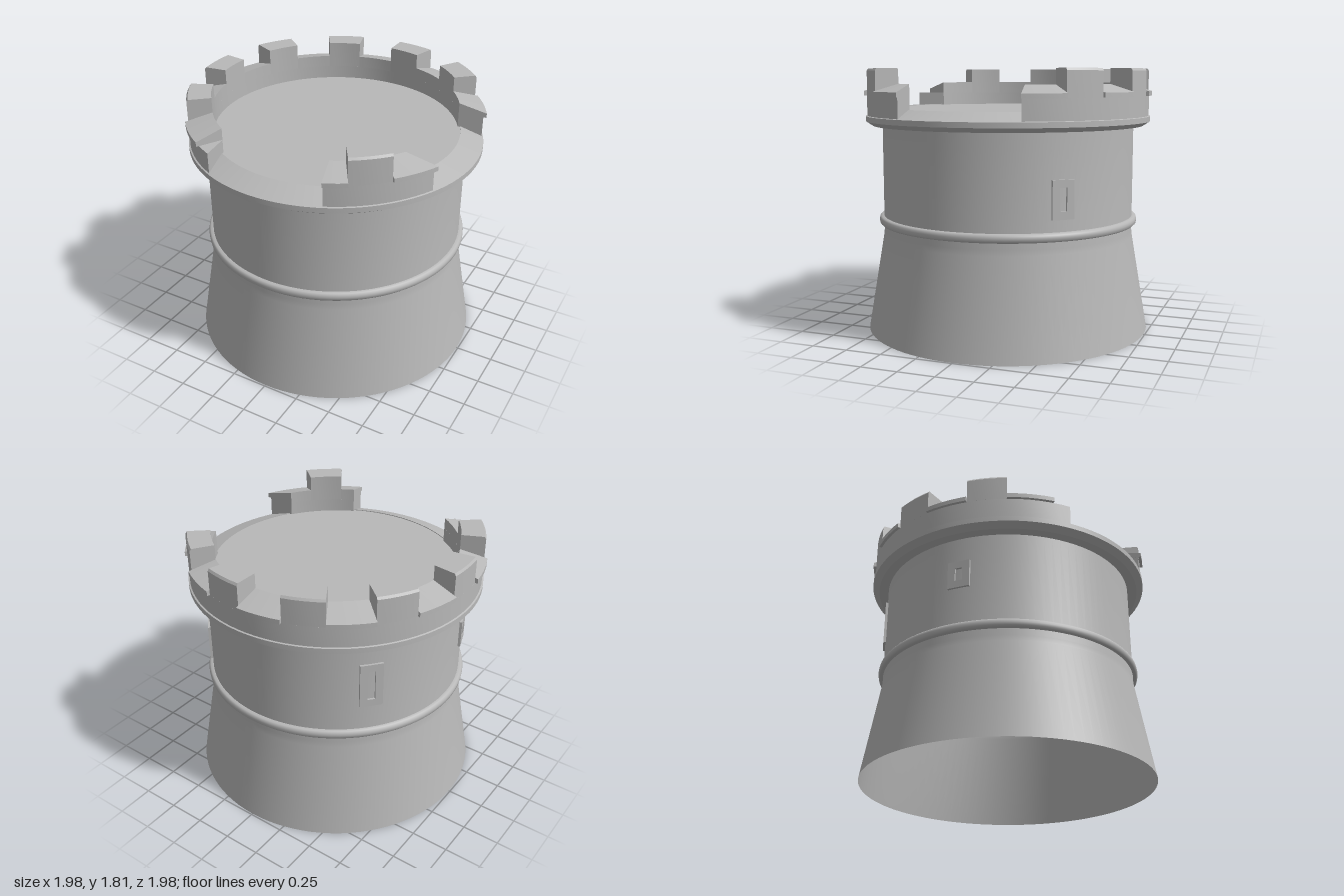
import * as THREE from 'three';
import { toCreasedNormals } from 'three/addons/utils/BufferGeometryUtils.js';

const stone = new THREE.MeshStandardMaterial({ color: 0xb8b8b8, side: THREE.DoubleSide });
stone.name = 'grey stone';

const R_IN = 0.815, R_OUT = 0.975;
const rad = THREE.MathUtils.degToRad;

function mesh(name, geometry, crease = 0.5) {
  const m = new THREE.Mesh(toCreasedNormals(geometry, crease), stone);
  m.name = name;
  return m;
}

function lathe(name, points, crease) {
  return mesh(name, new THREE.LatheGeometry(points.map(p => new THREE.Vector2(...p)), 96), crease);
}

// Sweeps a convex [radius, height] section around the axis.
// start and end are [inner, outer] angles in degrees, so the ends may be skewed.
function arcBlock(name, section, start, end) {
  const steps = Math.max(2, Math.ceil((end[1] - start[1]) / 4));
  const n = section.length, pos = [];
  const point = (i, k) => {
    const [r, y] = section[k % n];
    const t = (r - R_IN) / (R_OUT - R_IN);
    const a0 = THREE.MathUtils.lerp(start[0], start[1], t);
    const a1 = THREE.MathUtils.lerp(end[0], end[1], t);
    const a = rad(a0 + (a1 - a0) * i / steps);
    return [r * Math.cos(a), y, r * Math.sin(a)];
  };
  const tri = (...corners) => corners.forEach(c => pos.push(...c));
  for (let i = 0; i < steps; i++) {
    for (let k = 0; k < n; k++) {
      tri(point(i, k), point(i, k + 1), point(i + 1, k + 1));
      tri(point(i, k), point(i + 1, k + 1), point(i + 1, k));
    }
  }
  for (let k = 1; k < n - 1; k++) {
    tri(point(0, 0), point(0, k + 1), point(0, k));
    tri(point(steps, 0), point(steps, k), point(steps, k + 1));
  }
  const g = new THREE.BufferGeometry();
  g.setAttribute('position', new THREE.Float32BufferAttribute(pos, 3));
  return mesh(name, g);
}

const wallSection = [[R_IN, 1.49], [R_OUT, 1.49], [R_OUT, 1.63], [R_IN, 1.63]];
const copingSection = [[R_IN, 1.63], [0.995, 1.63], [0.995, 1.66], [R_IN, 1.71]];
const merlonSection = [[R_IN, 1.63], [R_OUT, 1.63], [R_OUT, 1.795], [0.965, 1.81], [R_IN, 1.81]];

// One standing stretch of parapet: wall, merlons, and sloped coping between them.
function parapet(name, start, end, merlonCentres, copingStart = start) {
  const group = new THREE.Group();
  group.name = name;
  group.add(arcBlock('parapetWall', wallSection, start, end));
  let from = copingStart;
  for (const c of merlonCentres) {
    const a = c - 7.8, b = c + 7.8;
    group.add(arcBlock('coping', copingSection, from, [a, a]));
    group.add(arcBlock('merlon', merlonSection, [a, a], [b, b]));
    from = [b, b];
  }
  group.add(arcBlock('coping', copingSection, from, end));
  return group;
}

// Thin stone frame around a narrow slit, set against the wall.
function slitWindow(angle, bottom, height) {
  const w = 0.15;
  const shape = new THREE.Shape();
  shape.moveTo(-w / 2, 0).lineTo(w / 2, 0).lineTo(w / 2, height).lineTo(-w / 2, height).closePath();
  const hole = new THREE.Path();
  hole.moveTo(-0.025, 0.05).lineTo(-0.025, height - 0.05)
    .lineTo(0.025, height - 0.05).lineTo(0.025, 0.05).closePath();
  shape.holes.push(hole);
  const m = mesh('slitWindow', new THREE.ExtrudeGeometry(shape, { depth: 0.025, bevelEnabled: false }));
  const a = rad(angle);
  m.position.set(0.862 * Math.cos(a), bottom, 0.862 * Math.sin(a));
  m.rotation.y = Math.PI / 2 - a;
  return m;
}

export function createModel() {
  const tower = new THREE.Group();
  tower.name = 'tower';

  // Hollow body: flared base and straight drum
  tower.add(lathe('towerBody', [[0.99, 0], [0.877, 0.66], [0.873, 0.70], [0.873, 1.43]], 0.6));

  // Rounded band around the drum
  tower.add(lathe('bandRing', [
    [0.87, 0.745], [0.893, 0.745], [0.903, 0.755], [0.905, 0.775],
    [0.902, 0.79], [0.893, 0.80], [0.87, 0.802],
  ], 0.9));

  // Cornice with a sloped top, and the roof floor inside it
  tower.add(lathe('cornice', [
    [0.87, 1.425], [0.94, 1.425], [0.985, 1.455], [0.985, 1.49], [0.83, 1.545], [0.83, 1.538],
  ], 0.3));
  const floor = new THREE.CircleGeometry(0.832, 96).rotateX(-Math.PI / 2).translate(0, 1.54, 0);
  tower.add(mesh('roofFloor', floor));

  // Broken battlement: merlons evenly spaced in elevenths, three missing
  const step = 360 / 11;
  const centres = [-1, 0, 1, 2, 3, 4].map(i => 180 + i * step);
  tower.add(parapet('longParapet', [122, 114.5], [332.5, 335], centres, [122, 121.5]));
  tower.add(parapet('shortParapet', [30.5, 24.5], [63.7, 65.5], [180 + 7 * step - 360]));

  // Slit windows climbing around the drum: angle, bottom, height
  for (const w of [[-43, 0.88, 0.25], [220, 0.98, 0.31], [160, 1.06, 0.19]]) {
    tower.add(slitWindow(...w));
  }
  return tower;
}
